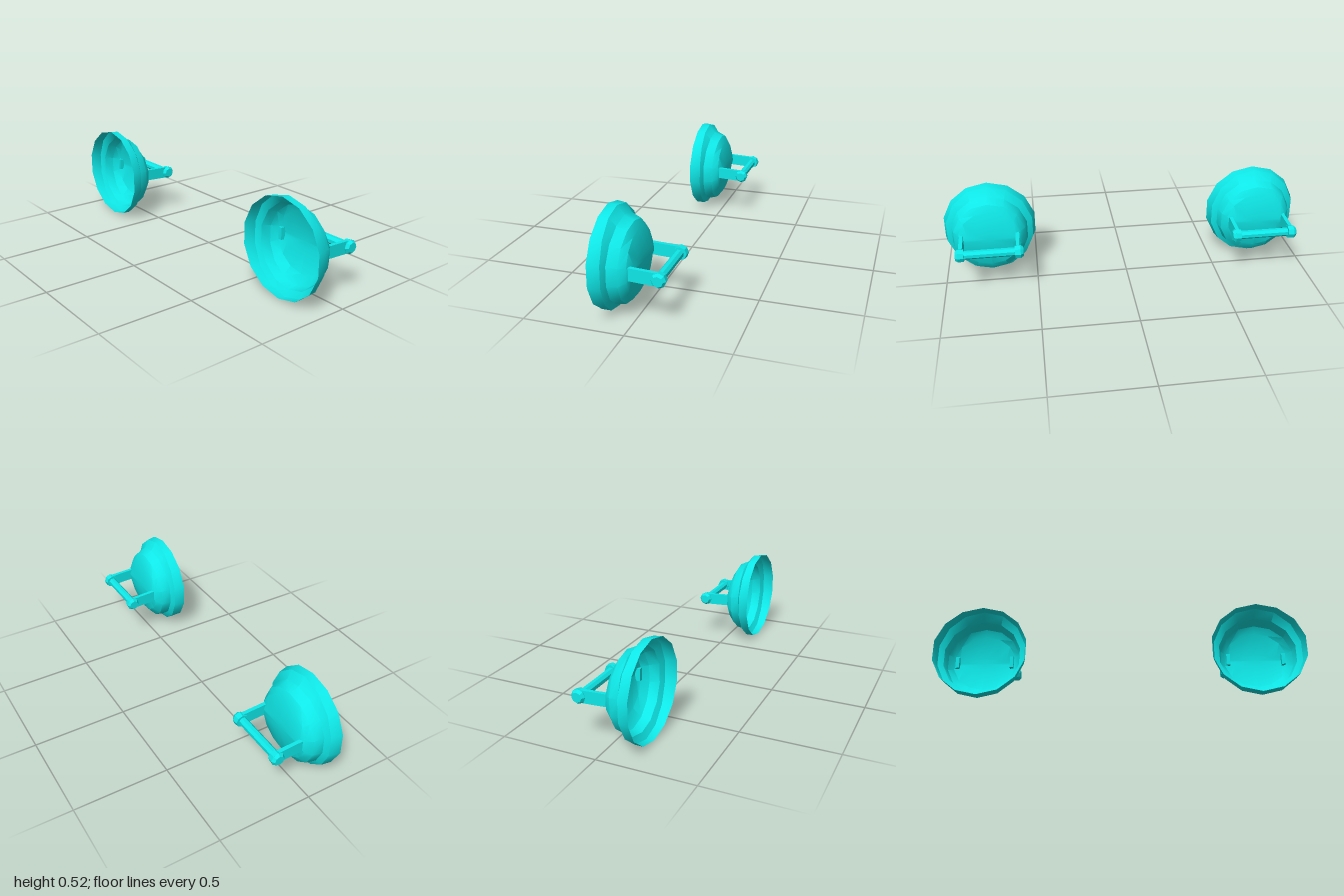
import * as THREE from 'three';
import { toCreasedNormals } from 'three/addons/utils/BufferGeometryUtils.js';

const SIDES = 14;

// Dome rings: [x at top, x at side, x at bottom, y top, y bottom, z half width]
const RINGS = [
  [-0.165, -0.17, -0.167, 0.517, 0.004, 0.255],
  [-0.12, -0.112, -0.125, 0.513, 0.0, 0.24],
  [-0.085, -0.098, -0.105, 0.47, 0.033, 0.21],
  [-0.037, -0.048, -0.057, 0.447, 0.041, 0.198],
  [-0.018, -0.015, -0.02, 0.41, 0.09, 0.172],
  [0.002, 0.001, 0.002, 0.285, 0.22, 0.15],
];

// Open shell lofted through the rings and closed at its outer face
function domeGeometry() {
  const pos = [], index = [];
  for (const [xt, xm, xb, yt, yb, hz] of RINGS) {
    for (let j = 0; j < SIDES; j++) {
      const a = (j / SIDES) * Math.PI * 2, c = Math.cos(a), s = Math.sin(a);
      const x = xm * s * s + (c > 0 ? xt : xb) * c * c;
      pos.push(x, (yt + yb) / 2 + (c * (yt - yb)) / 2, s * hz);
    }
  }
  for (let i = 0; i < RINGS.length - 1; i++) {
    for (let j = 0; j < SIDES; j++) {
      const k = (j + 1) % SIDES;
      const a = i * SIDES + j, b = i * SIDES + k;
      index.push(a, b, a + SIDES, b, b + SIDES, a + SIDES);
    }
  }
  const last = (RINGS.length - 1) * SIDES, centre = pos.length / 3;
  pos.push(0.002, 0.2525, 0);
  for (let j = 0; j < SIDES; j++) index.push(centre, last + j, last + ((j + 1) % SIDES));
  const g = new THREE.BufferGeometry();
  g.setAttribute('position', new THREE.Float32BufferAttribute(pos, 3));
  g.setIndex(index);
  return toCreasedNormals(g, 0.5);
}

export function createModel() {
  const model = new THREE.Group();
  model.name = 'handledDomes';
  const color = 0x0fe8e8;
  const shellMat = new THREE.MeshStandardMaterial({ color, side: THREE.DoubleSide });
  const flatMat = new THREE.MeshStandardMaterial({ color, flatShading: true });

  const domeGeo = domeGeometry();

  // Strap that slopes down slightly away from the dome
  const strapGeo = new THREE.BoxGeometry(0.15, 0.064, 0.02);
  const p = strapGeo.attributes.position;
  for (let i = 0; i < p.count; i++) p.setY(i, p.getY(i) - 0.05 * p.getX(i));

  // Eight-sided end knob, narrowing to its outer face, and grip bar
  const knobGeo = new THREE.CylinderGeometry(0.026, 0.037, 0.015, 8);
  knobGeo.rotateX(Math.PI / 2);
  const knobBaseGeo = new THREE.CylinderGeometry(0.037, 0.034, 0.03, 8);
  knobBaseGeo.rotateX(Math.PI / 2);
  const barGeo = new THREE.CylinderGeometry(0.023, 0.023, 0.29, 8);
  barGeo.rotateX(Math.PI / 2).rotateZ(Math.PI / 8);

  const add = (parent, name, geo, mat, x, y, z) => {
    const m = new THREE.Mesh(geo, mat);
    m.name = name;
    m.position.set(x, y, z);
    parent.add(m);
    return m;
  };

  for (const side of [1, -1]) {
    const unit = new THREE.Group();
    unit.name = side > 0 ? 'frontDome' : 'rearDome';
    unit.position.z = side * 0.745;
    add(unit, 'shell', domeGeo, shellMat, 0, 0, 0);

    // Handle: two straps with knobs joined by the grip
    const handle = new THREE.Group();
    handle.name = 'handle';
    for (const s of [1, -1]) {
      add(handle, 'strap', strapGeo, flatMat, 0.05, 0.25, s * 0.15);
      add(handle, 'knob', knobBaseGeo, flatMat, 0.133, 0.246, s * 0.148).rotation.y = s > 0 ? 0 : Math.PI;
      add(handle, 'knobTip', knobGeo, flatMat, 0.133, 0.246, s * 0.17).rotation.y = s > 0 ? 0 : Math.PI;
    }
    add(handle, 'grip', barGeo, flatMat, 0.13, 0.245, 0);
    unit.add(handle);
    model.add(unit);
  }
  return model;
}
